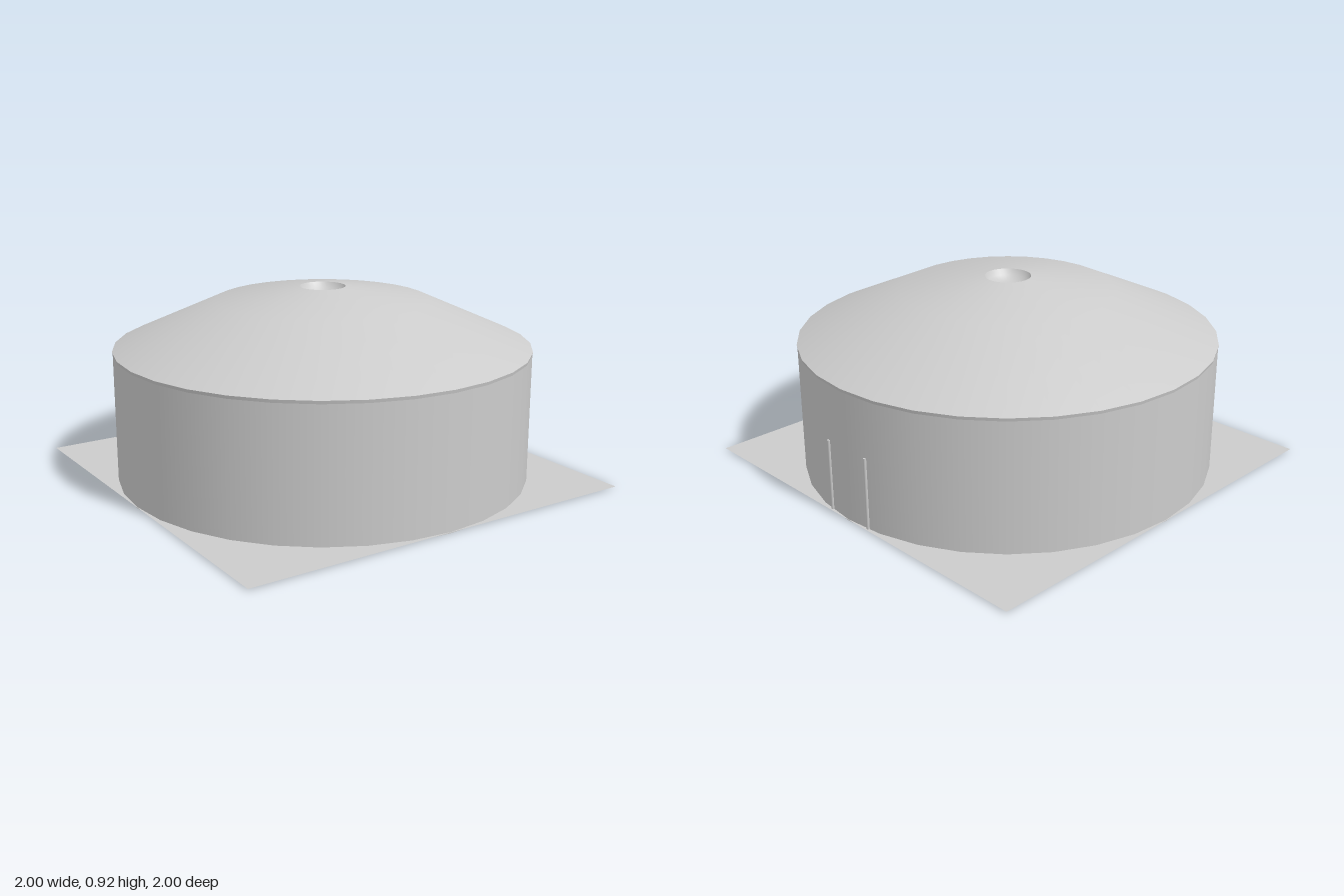
import * as THREE from 'three';

const SIDES = 32;

export function createModel() {
  const model = new THREE.Group();
  model.name = 'roundTent';
  const material = new THREE.MeshStandardMaterial({ color: 0xcccccc, side: THREE.DoubleSide });

  const add = (name, geometry, x = 0, y = 0, z = 0) => {
    const mesh = new THREE.Mesh(geometry, material);
    mesh.name = name;
    mesh.position.set(x, y, z);
    model.add(mesh);
    return mesh;
  };
  const lathe = (...points) =>
    new THREE.LatheGeometry(points.map(([r, y]) => new THREE.Vector2(r, y)), SIDES);

  // Thin square ground sheet
  add('groundSheet', new THREE.PlaneGeometry(2, 2).rotateX(-Math.PI / 2), 0, 0.006, 0);

  // Round wall, with a narrow eave edge above it
  add('wall', lathe([0.997, 0], [0.997, 0.622]));
  add('eave', lathe([0.997, 0.622], [1, 0.637]));

  // Roof in two slopes, smoothly shaded
  add('roof', lathe([1, 0.637], [0.51, 0.855], [0.11, 0.915]));

  // Shallow sunken crown in the middle of the roof
  add('crown', lathe([0.11, 0.915], [0.095, 0.888], [0.06, 0.868], [0, 0.86]));

  // Door posts on the left side, standing just proud of the wall
  for (const side of [1, -1]) {
    const post = new THREE.CylinderGeometry(0.008, 0.008, 0.35, 8);
    add('doorPost', post, 0.986, 0.175, side * 0.127);
  }
  return model;
}
